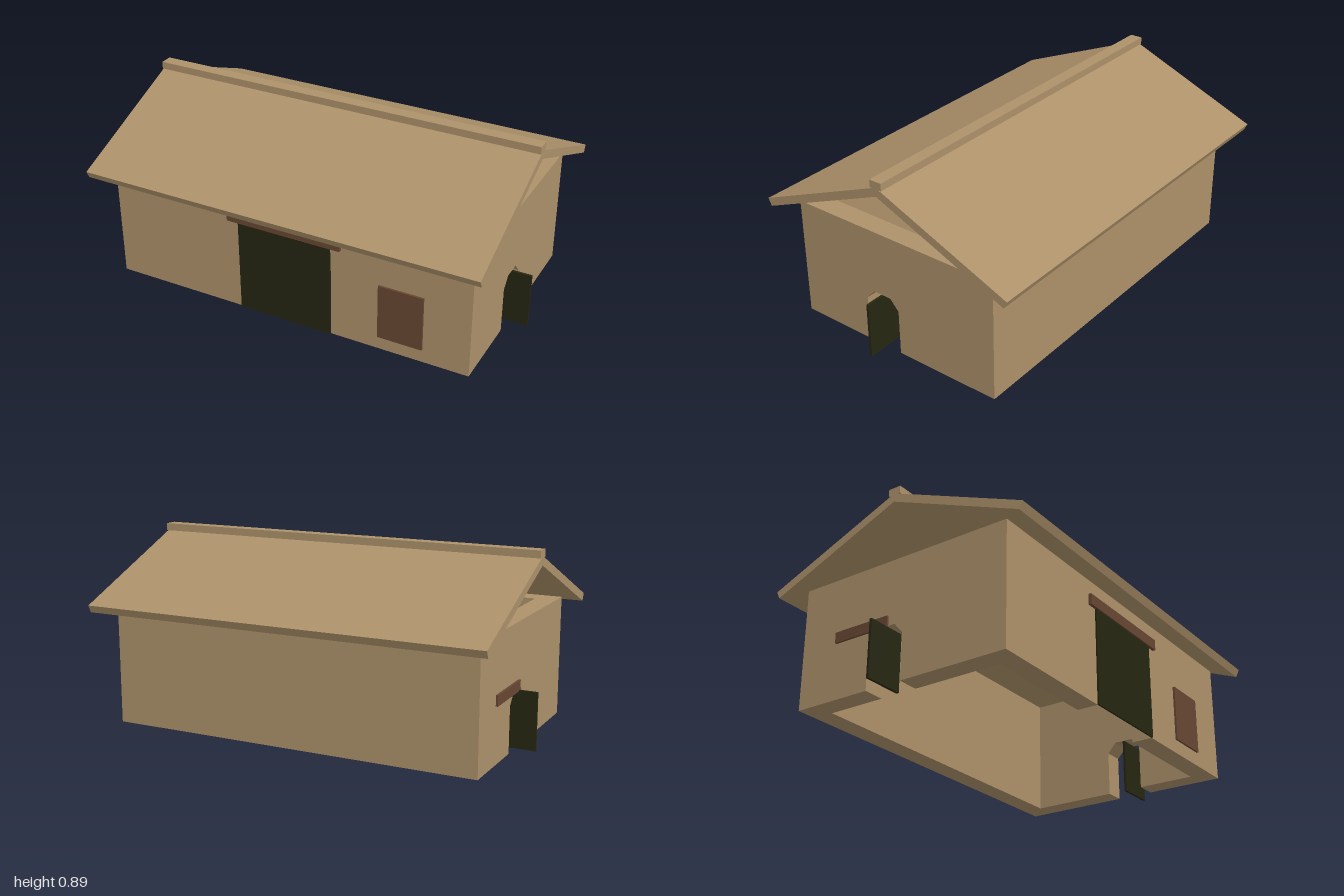
import * as THREE from 'three';

const HX = 0.905, HZ = 0.545, H = 0.58, T = 0.1; // half width, half depth, wall height, wall thickness

export function createModel() {
  const barn = new THREE.Group();
  barn.name = 'barn';
  const mat = (name, color) => {
    const m = new THREE.MeshStandardMaterial({ color });
    m.name = name;
    return m;
  };
  const tan = mat('tan plaster', 0xad916a);
  const brown = mat('red brown wood', 0x684733);
  const dark = mat('dark wood', 0x262612);

  const add = (parent, name, geometry, material) => {
    const mesh = new THREE.Mesh(geometry, material);
    mesh.name = name;
    parent.add(mesh);
    return mesh;
  };
  // Box given by its lower and upper corners
  const box = (parent, name, a, b, material) => {
    const mesh = add(parent, name, new THREE.BoxGeometry(b[0] - a[0], b[1] - a[1], b[2] - a[2]), material);
    mesh.position.set((a[0] + b[0]) / 2, (a[1] + b[1]) / 2, (a[2] + b[2]) / 2);
    return mesh;
  };
  const extrude = (points, depth) => new THREE.ExtrudeGeometry(
    new THREE.Shape(points.map(([x, y]) => new THREE.Vector2(x, y))), { depth, bevelEnabled: false });
  // Wall with a doorway notch; the arch is symmetric about cx and given from its foot to its top
  const wall = (half, cx, arch) => extrude([
    [-half, 0],
    ...arch.map(([x, y]) => [cx - x, y]),
    ...arch.slice().reverse().map(([x, y]) => [cx + x, y]),
    [half, 0], [half, H], [-half, H],
  ], T);

  // Front wall with a wide arch, plain back wall
  const frontArch = [[0.235, 0], [0.235, 0.335], [0.15, 0.45], [0.06, 0.485]];
  add(barn, 'frontWall', wall(HX, 0, frontArch), tan).position.z = HZ - T;
  box(barn, 'backWall', [-HX, 0, -HZ], [HX, H, -HZ + T], tan);

  // Side walls, each with a small arch and a door standing open; one is the other turned half round
  const sideArch = [[0.0915, 0], [0.0915, 0.22], [0.047, 0.27]];
  for (const side of ['left', 'right']) {
    const group = new THREE.Group();
    group.name = side + 'Side';
    const mesh = add(group, side + 'Wall', wall(HZ - T, -0.0735, sideArch), tan);
    mesh.rotation.y = Math.PI / 2;
    mesh.position.x = HX - T;
    box(group, side + 'Door', [0.81, 0, 0.067], [1, 0.27, 0.079], dark);
    if (side === 'right') {
      group.rotation.y = Math.PI;
      box(group, 'sideRail', [HX, 0.265, 0.06], [HX + 0.01, 0.315, 0.35], brown);
    }
    barn.add(group);
  }

  // Front door, its rail and the shutter
  box(barn, 'frontDoor', [-0.235, 0, HZ], [0.233, 0.456, HZ + 0.008], dark);
  box(barn, 'doorRail', [-0.288, 0.456, HZ], [0.285, 0.508, HZ + 0.015], brown);
  box(barn, 'shutter', [0.47, 0.067, HZ], [0.685, 0.336, HZ + 0.01], brown);

  // Pitched roof, open at the gables, with a ridge cap
  const roof = add(barn, 'roof', extrude([
    [-0.672, 0.583], [-0.655, 0.548], [0, 0.82], [0.655, 0.548], [0.672, 0.583], [0, 0.862],
  ], 1.954), tan);
  roof.rotation.y = Math.PI / 2;
  roof.position.x = -0.977;
  box(barn, 'ridgeCap', [-0.977, 0.855, -0.031], [0.977, 0.89, 0.031], tan);

  return barn;
}
